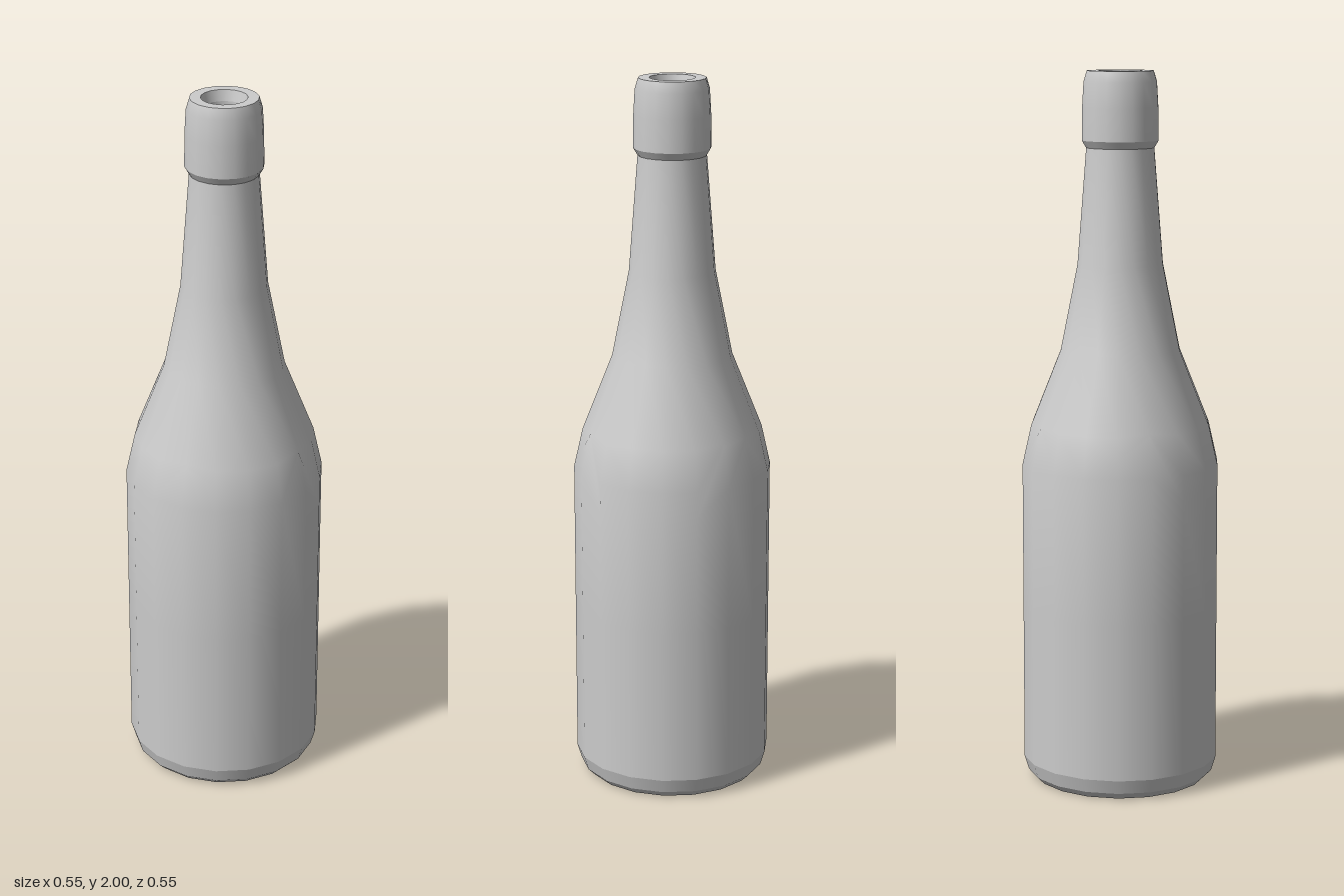
import * as THREE from 'three';

const SIDES = 18;
const START = Math.PI / SIDES;
const material = new THREE.MeshStandardMaterial({ color: 0xcccccc, side: THREE.DoubleSide });

// Outer wall of the body, shoulder and neck: [radius, height]
const WALL = [[0.277, 0.06], [0.277, 0.5], [0.277, 0.91], [0.252, 1.02],
  [0.168, 1.23], [0.12, 1.47], [0.095, 1.79]];

// Jagged crack round the bottle: [degrees from the front, height];
// a repeated angle is a vertical step
const CRACK = [[-10, 1.03], [10, 0.975], [30, 0.915], [50, 0.882], [50, 0.91],
  [70, 1.03], [90, 0.825], [110, 0.77], [110, 0.91], [130, 0.885], [150, 0.835],
  [170, 1.03], [170, 0.9], [190, 1.03], [210, 0.915], [230, 0.915], [250, 0.96],
  [270, 1.03], [290, 0.84], [310, 0.88], [330, 0.915], [350, 1.03]];

// Upward slope normal of one wall segment, as [outward, up]
function segmentNormal(i) {
  const [r0, y0] = WALL[i], [r1, y1] = WALL[i + 1];
  const l = Math.hypot(r1 - r0, y1 - y0);
  return [(y1 - y0) / l, (r0 - r1) / l];
}

const WALL_NORMALS = WALL.map((_, i) => {
  const a = segmentNormal(Math.max(i - 1, 0));
  const b = segmentNormal(Math.min(i, WALL.length - 2));
  return [(a[0] + b[0]) / 2, (a[1] + b[1]) / 2];
});

// Radius and normal of the wall at a height
function wallAt(y) {
  let i = 0;
  while (i < WALL.length - 2 && y > WALL[i + 1][1]) i++;
  const t = (y - WALL[i][1]) / (WALL[i + 1][1] - WALL[i][1]);
  const mix = (a, b) => a + (b - a) * t;
  const n = WALL_NORMALS[i], m = WALL_NORMALS[i + 1];
  return { r: mix(WALL[i][0], WALL[i + 1][0]), out: mix(n[0], m[0]), up: mix(n[1], m[1]) };
}

// One piece of the wall, with its rows clamped to the crack line
function crackedShell(name, limit) {
  const positions = [], normals = [], indices = [];
  const rows = WALL.length;
  CRACK.forEach(([degrees, crack], column) => {
    const a = THREE.MathUtils.degToRad(degrees);
    WALL.forEach(([, level], row) => {
      const y = limit(level, crack, row);
      const w = wallAt(y);
      positions.push(w.r * Math.sin(a), y, w.r * Math.cos(a));
      const n = new THREE.Vector3(w.out * Math.sin(a), w.up, w.out * Math.cos(a)).normalize();
      normals.push(n.x, n.y, n.z);
      if (column < CRACK.length - 1 && row < rows - 1) {
        const p = column * rows + row, q = p + rows;
        indices.push(p, q, p + 1, q, q + 1, p + 1);
      }
    });
  });
  const geometry = new THREE.BufferGeometry();
  geometry.setAttribute('position', new THREE.Float32BufferAttribute(positions, 3));
  geometry.setAttribute('normal', new THREE.Float32BufferAttribute(normals, 3));
  geometry.setIndex(indices);
  const mesh = new THREE.Mesh(geometry, material);
  mesh.name = name;
  return mesh;
}

// Turned part made of sections, smooth within each and sharp between them
function turned(name, sections) {
  const group = new THREE.Group();
  group.name = name;
  for (const section of sections) {
    const points = section.map(([r, y]) => new THREE.Vector2(r, y));
    const mesh = new THREE.Mesh(new THREE.LatheGeometry(points, SIDES, START), material);
    mesh.name = name + 'Surface';
    group.add(mesh);
  }
  return group;
}

export function createModel() {
  const bottle = new THREE.Group();
  bottle.name = 'bottle';

  // Lower body and upper shoulder with neck, meeting at the crack
  const last = WALL.length - 1;
  bottle.add(crackedShell('lowerBody', (y, crack, row) => (row === last ? crack : Math.min(y, crack))));
  bottle.add(crackedShell('shoulderAndNeck', (y, crack, row) => (row === 0 ? crack : Math.max(y, crack))));

  // Flat bottom with a bevelled foot
  bottle.add(turned('base', [
    [[0, 0], [0.245, 0]],
    [[0.245, 0], [0.265, 0.02]],
    [[0.265, 0.02], [0.277, 0.06]],
  ]));

  // Collar round the mouth
  bottle.add(turned('collar', [
    [[0.095, 1.79], [0.107, 1.81]],
    [[0.107, 1.81], [0.106, 1.9], [0.102, 1.97], [0.093, 2]],
    [[0.093, 2], [0.063, 2]],
  ]));

  // Hollow mouth
  bottle.add(turned('mouth', [
    [[0.063, 2], [0.056, 1.97]],
    [[0.056, 1.97], [0.056, 1.8]],
    [[0.056, 1.8], [0, 1.8]],
  ]));

  return bottle;
}
